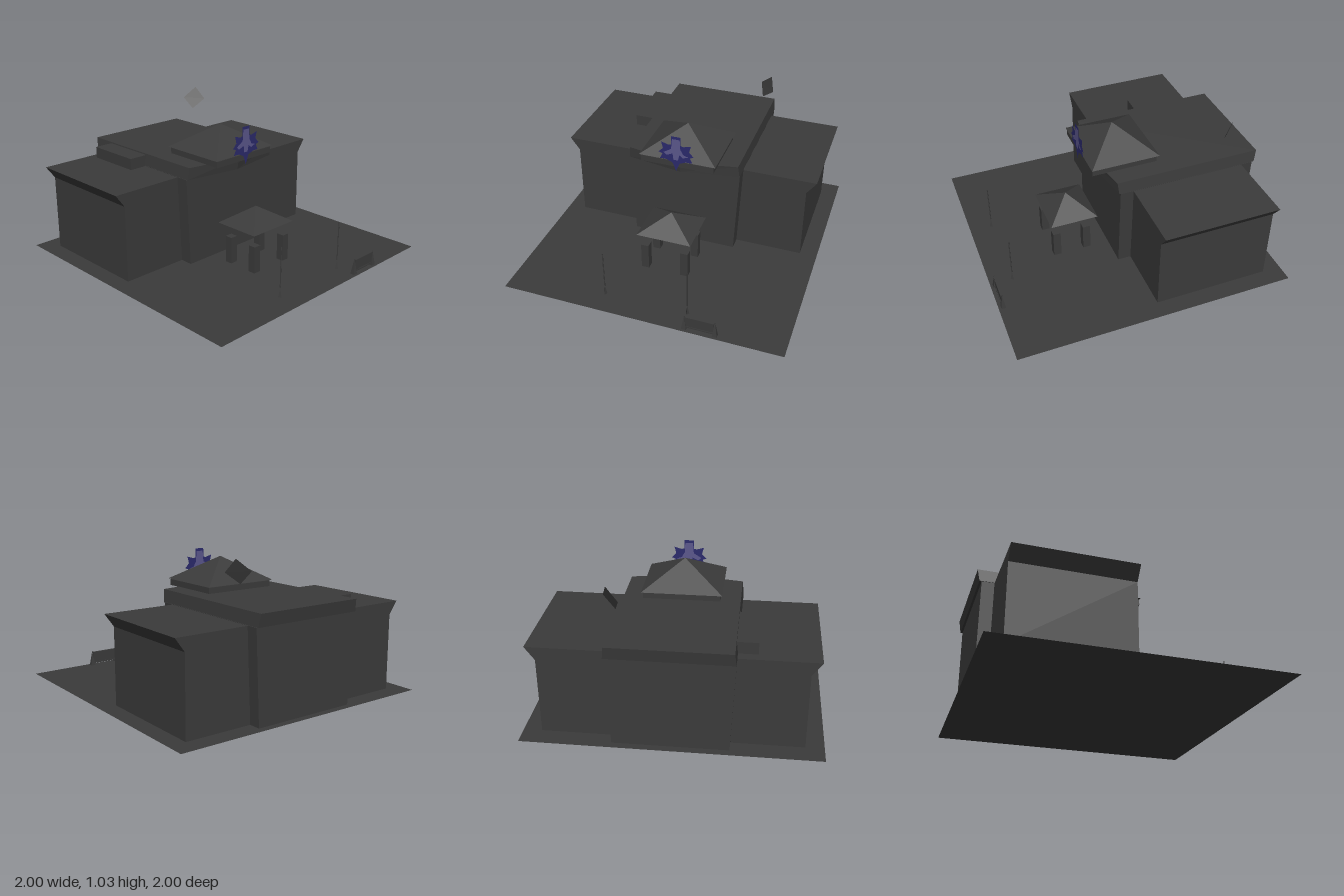
import * as THREE from 'three';

const stone = new THREE.MeshStandardMaterial({ color: 0x3b3b3b, flatShading: true, side: THREE.DoubleSide });
stone.name = 'charcoal';
const blue = new THREE.MeshStandardMaterial({ color: 0x2b2a6c, side: THREE.DoubleSide });
blue.name = 'deep blue';
const pale = new THREE.MeshStandardMaterial({ color: 0x5b578c, side: THREE.DoubleSide });
pale.name = 'pale violet';

function add(parent, name, geometry, material = stone) {
  const mesh = new THREE.Mesh(geometry, material);
  mesh.name = name;
  parent.add(mesh);
  return mesh;
}

// Box given by its limits on each axis
function block(x0, x1, y0, y1, z0, z1) {
  return new THREE.BoxGeometry(x1 - x0, y1 - y0, z1 - z0)
    .translate((x0 + x1) / 2, (y0 + y1) / 2, (z0 + z1) / 2);
}

// Four-sided hip roof or spike on a rectangular base
function pyramid(x0, x1, y0, y1, z0, z1) {
  return new THREE.ConeGeometry(Math.SQRT1_2, 1, 4)
    .rotateY(Math.PI / 4)
    .scale(x1 - x0, y1 - y0, z1 - z0)
    .translate((x0 + x1) / 2, (y0 + y1) / 2, (z0 + z1) / 2);
}

// Solid between two outlines of [x, z] points, counter-clockwise seen from above
function loft(bottom, y0, top, y1) {
  const n = bottom.length, pos = [], index = [];
  bottom.forEach(([x, z]) => pos.push(x, y0, z));
  top.forEach(([x, z]) => pos.push(x, y1, z));
  for (let i = 0; i < n; i++) {
    const j = (i + 1) % n;
    index.push(i, j, n + j, i, n + j, n + i);
    if (i > 0 && i < n - 1) index.push(0, i + 1, i, n, n + i, n + i + 1);
  }
  const g = new THREE.BufferGeometry();
  g.setAttribute('position', new THREE.Float32BufferAttribute(pos, 3));
  g.setIndex(index);
  const flat = g.toNonIndexed();
  flat.computeVertexNormals();
  return flat;
}

const rect = (x, z0, z1) => [[-x, z1], [x, z1], [x, z0], [-x, z0]];
const slab = (x, back, side, nose) => [[-x, side], [0, nose], [x, side], [x, back], [-x, back]];

function flatShape(points, z) {
  return new THREE.ShapeGeometry(new THREE.Shape(points.map(p => new THREE.Vector2(...p))))
    .translate(0, 0, z);
}

export function createModel() {
  const model = new THREE.Group();
  model.name = 'building';

  add(model, 'ground', new THREE.PlaneGeometry(2, 2).rotateX(-Math.PI / 2));

  // Main hall, leaning outwards, under a slab with a pointed front
  add(model, 'hall', loft(rect(0.387, -0.95, 0.06), 0, rect(0.415, -0.95, 0.06), 0.64));
  add(model, 'hallRoof', loft(slab(0.415, -0.965, 0.07, 0.14), 0.642, slab(0.405, -0.98, 0.08, 0.155), 0.73));

  // Side wings with a flared eave on the outer side
  for (const s of [1, -1]) {
    const profile = new THREE.Shape([[0.37, 0], [0.875, 0], [0.875, 0.545], [0.943, 0.638], [0.37, 0.638]]
      .map(([x, y]) => new THREE.Vector2(s * x, y)));
    add(model, s > 0 ? 'leftWing' : 'rightWing',
      new THREE.ExtrudeGeometry(profile, { depth: 0.83, bevelEnabled: false }).translate(0, 0, -0.865));
  }
  add(model, 'roofAnnex', block(-0.545, -0.4, 0.635, 0.72, -0.8, -0.385));

  // Cupola
  add(model, 'cupolaBase', block(-0.267, 0.267, 0.728, 0.772, -0.267, 0.21));
  add(model, 'cupolaRoof', pyramid(-0.28, 0.28, 0.778, 0.945, -0.285, 0.215));

  // Open porch
  const porch = new THREE.Group();
  porch.name = 'porch';
  model.add(porch);
  add(porch, 'porchRoof', pyramid(-0.2, 0.2, 0.293, 0.415, 0.15, 0.5));
  for (const x of [-0.147, 0.147])
    for (const z of [0.228, 0.455])
      add(porch, 'porchColumn', block(x - 0.028, x + 0.028, 0, 0.198, z - 0.028, z + 0.028));

  // Flagpoles on small spikes
  for (const x of [-0.305, 0.295]) {
    add(model, 'poleFoot', new THREE.ConeGeometry(0.014, 0.07, 3).translate(x, 0.035, 0.835));
    add(model, 'pole', new THREE.CylinderGeometry(0.004, 0.004, 0.285, 6).translate(x, 0.2125, 0.835));
  }

  // Yard sign: framed panel between two spikes
  const sign = new THREE.Group();
  sign.name = 'yardSign';
  model.add(sign);
  for (const x of [0.318, 0.53])
    add(sign, 'signPost', pyramid(x - 0.017, x + 0.017, 0, 0.115, 0.95, 0.982));
  add(sign, 'signPanel', block(0.328, 0.52, 0.02, 0.1, 0.961, 0.971));
  for (const y of [0.015, 0.095])
    add(sign, 'signRail', block(0.325, 0.523, y, y + 0.01, 0.957, 0.975));

  // Tilted floating plate
  const plate = new THREE.BufferGeometry();
  plate.setAttribute('position', new THREE.Float32BufferAttribute([
    0.333, 0.955, -0.8, 0.365, 0.87, -0.73, 0.452, 0.945, -0.683, 0.42, 1.035, -0.753], 3));
  plate.setIndex([0, 1, 2, 0, 2, 3]);
  plate.computeVertexNormals();
  add(model, 'floatingPlate', plate);

  // Leaf ornament on the cupola, with a paler streak on both faces
  const half = [[0.035, 0.975], [0.035, 0.91], [0.055, 0.905], [0.108, 0.92], [0.095, 0.87], [0.128, 0.835],
    [0.1, 0.825], [0.118, 0.785], [0.07, 0.785], [0.025, 0.765]];
  const mirrored = half.map(([x, y]) => [-x, y]).reverse();
  add(model, 'leaf', flatShape([...half, [0, 0.7], ...mirrored], 0.222), blue);
  const streak = [[-0.028, 0.955], [0.028, 0.955], [0.032, 0.88], [0.055, 0.84], [0.09, 0.83], [0.05, 0.815],
    [0.025, 0.835], [0.015, 0.79], [-0.018, 0.79], [-0.025, 0.84], [-0.07, 0.82], [-0.09, 0.84], [-0.035, 0.875]];
  for (const z of [0.2205, 0.2235]) add(model, 'leafStreak', flatShape(streak, z), pale);

  return model;
}
